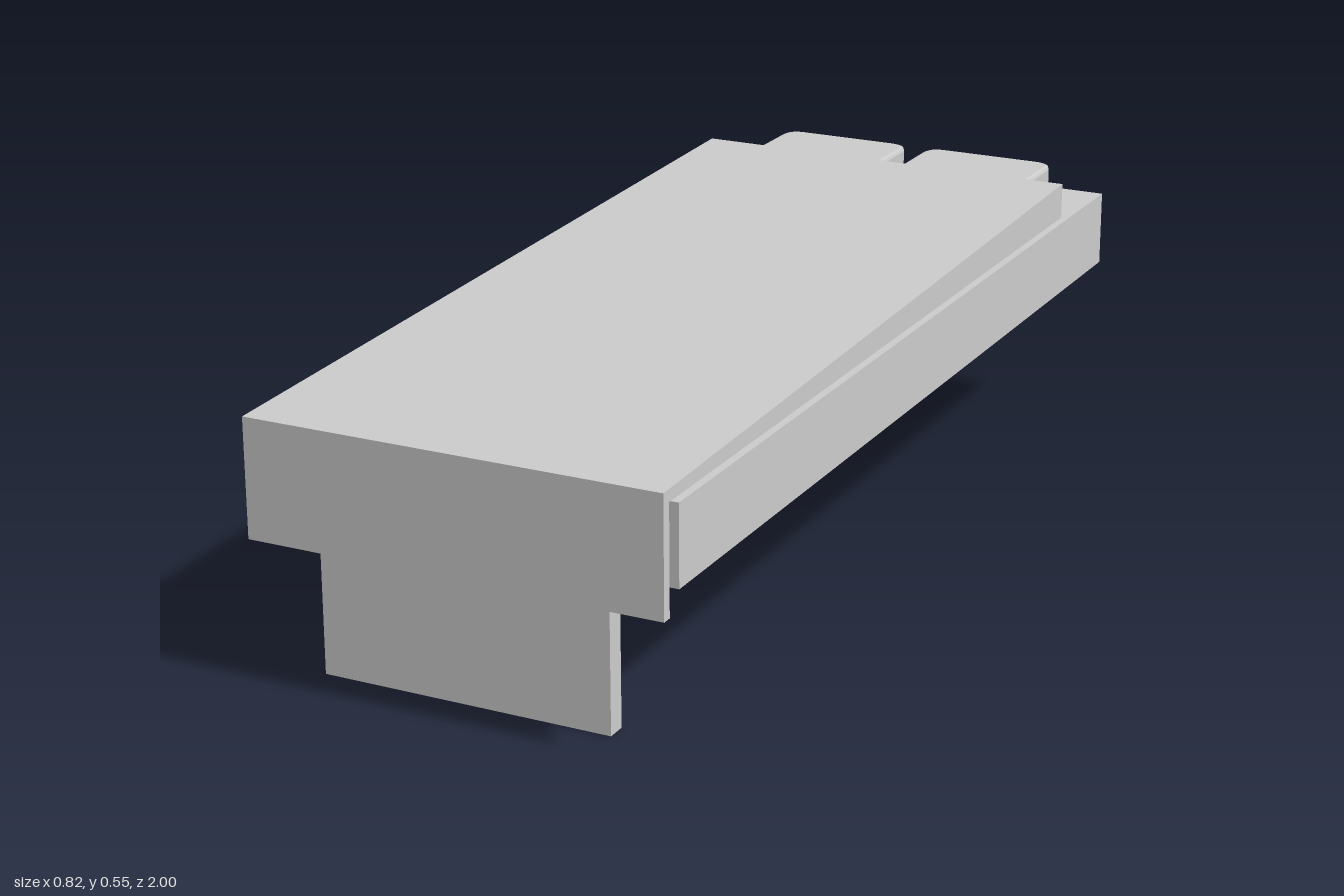
import * as THREE from 'three';

const material = new THREE.MeshStandardMaterial({ color: 0xcccccc, flatShading: true });

function add(parent, name, geometry) {
  const mesh = new THREE.Mesh(geometry, material);
  mesh.name = name;
  parent.add(mesh);
  return mesh;
}

// Box given by its lowest and highest corners
function block(x0, y0, z0, x1, y1, z1) {
  return new THREE.BoxGeometry(x1 - x0, y1 - y0, z1 - z0)
    .translate((x0 + x1) / 2, (y0 + y1) / 2, (z0 + z1) / 2);
}

// Side profile of [z, y] points, extruded across the bed from x0 to x1
function sideProfile(points, x0, x1) {
  const shape = new THREE.Shape(points.map(([z, y]) => new THREE.Vector2(z, y)));
  return new THREE.ExtrudeGeometry(shape, { depth: x1 - x0, bevelEnabled: false })
    .rotateY(-Math.PI / 2).translate(x1, 0, 0);
}

// Cushion with rounded corners in plan and a small bevelled top edge
function cushion(width, length, height) {
  const b = 0.008, r = 0.03, w = width / 2 - b, l = length / 2 - b;
  const s = new THREE.Shape();
  s.moveTo(-w + r, -l);
  s.lineTo(w - r, -l);
  s.quadraticCurveTo(w, -l, w, -l + r);
  s.lineTo(w, l - r);
  s.quadraticCurveTo(w, l, w - r, l);
  s.lineTo(-w + r, l);
  s.quadraticCurveTo(-w, l, -w, l - r);
  s.lineTo(-w, -l + r);
  s.quadraticCurveTo(-w, -l, -w + r, -l);
  return new THREE.ExtrudeGeometry(s, {
    depth: height - b, bevelThickness: b, bevelSize: b, bevelSegments: 2, curveSegments: 5,
  }).rotateX(-Math.PI / 2);
}

export function createModel() {
  const bed = new THREE.Group();
  bed.name = 'bed';

  // L-shaped base: one long side panel and one foot panel
  const base = new THREE.Group();
  base.name = 'base';
  bed.add(base);
  add(base, 'sidePanel', block(-0.325, 0, -1, -0.285, 0.327, 0.87));
  add(base, 'footPanel', block(-0.325, 0, 0.87, 0.245, 0.327, 0.908));

  add(bed, 'mattress', block(-0.39, 0.327, -1, 0.41, 0.478, 0.975));

  // Blanket: sloping top with hanging foot and side flaps
  const blanket = new THREE.Group();
  blanket.name = 'blanket';
  bed.add(blanket);
  const back = -0.795, foot = 1, yBack = 0.55, yFoot = 0.5, drop = 0.225;
  add(blanket, 'blanketTop', sideProfile(
    [[back, 0.478], [foot, 0.478], [foot, yFoot], [back, yBack]], -0.41, 0.395));
  add(blanket, 'footFlap', block(-0.41, yFoot - drop, 0.98, 0.395, 0.478, foot));
  add(blanket, 'sideFlap', sideProfile(
    [[back, yBack - drop], [foot, yFoot - drop], [foot, 0.478], [back, 0.478]], -0.41, -0.39));

  // Two pillows tucked under the blanket edge
  for (const [name, x] of [['rightPillow', -0.158], ['leftPillow', 0.173]]) {
    add(bed, name, cushion(0.285, 0.26, 0.067)).position.set(x, 0.478, -0.825);
  }
  return bed;
}
